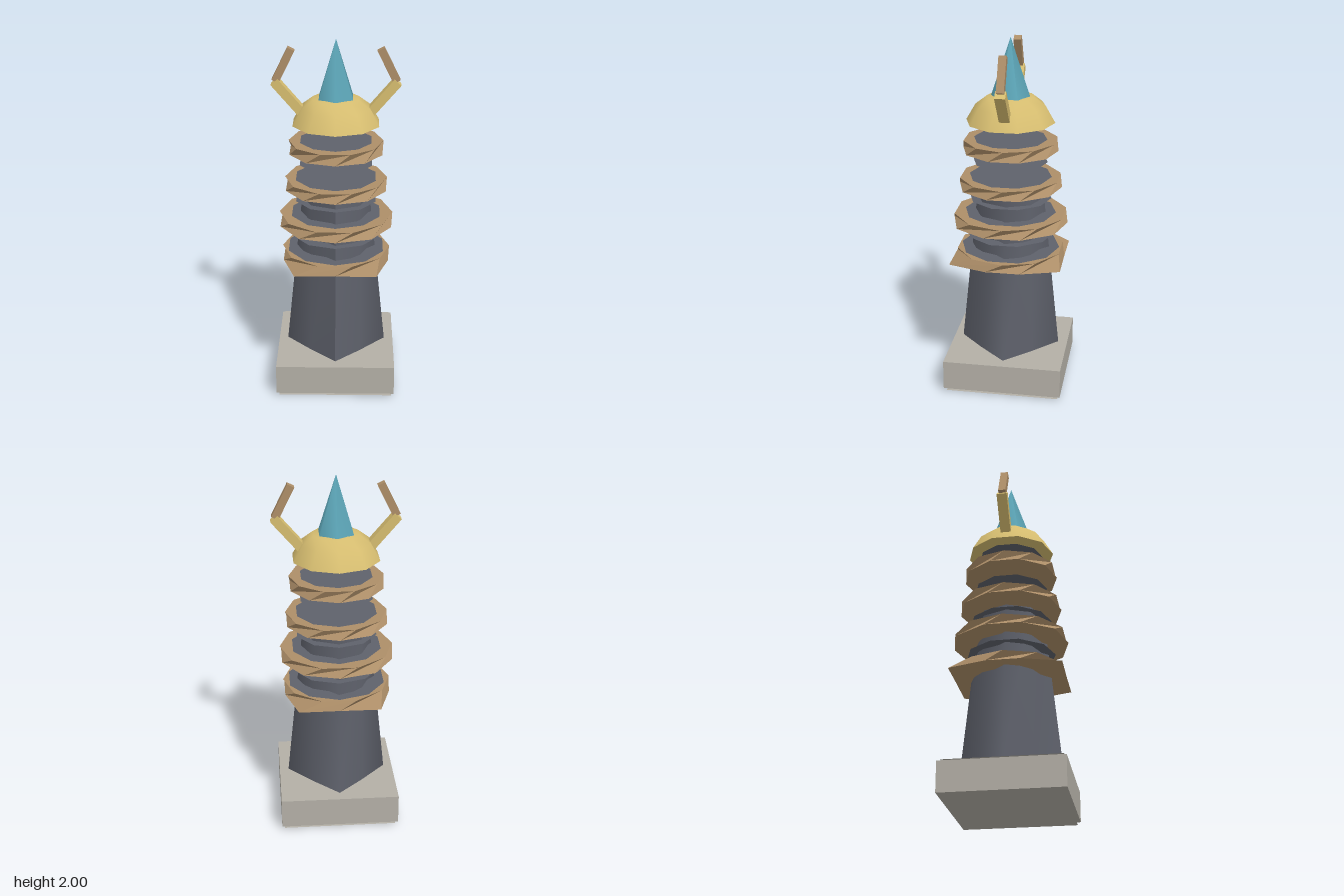
import * as THREE from 'three';

const mat = (name, color, extra = {}) => {
  const m = new THREE.MeshStandardMaterial({ color, ...extra });
  m.name = name;
  return m;
};

export function createModel() {
  const group = new THREE.Group();
  group.name = 'tower';
  const stone = mat('pale stone', 0xb3afa6, { side: THREE.DoubleSide });
  const slate = mat('dark slate', 0x5e616b, { side: THREE.DoubleSide });
  const wood = mat('brown wood', 0xad8e68, { flatShading: true });
  const gold = mat('gold', 0xd6bd70);
  const goldFlat = gold;
  const crystal = mat('blue crystal', 0x5ca5b7);

  const add = (name, geometry, material, x = 0, y = 0, z = 0) => {
    const mesh = new THREE.Mesh(geometry, material);
    mesh.name = name;
    mesh.position.set(x, y, z);
    group.add(mesh);
    return mesh;
  };
  const disc = (name, r, y, material) => {
    const g = new THREE.CircleGeometry(r, 10, Math.PI / 2);
    add(name, g.rotateX(-Math.PI / 2), material, 0, y);
  };

  // Square plinth with thin plates above and below
  add('plinth', new THREE.BoxGeometry(0.67, 0.17, 0.67), stone, 0, 0.105);
  for (const y of [0, 0.2]) {
    add('plinthPlate', new THREE.PlaneGeometry(0.64, 0.64).rotateX(-Math.PI / 2), stone, 0, y);
  }

  // Shaft: eight-sided at the top, spreading to four corners at the foot
  const shaft = new THREE.CylinderGeometry(0.187, 0.285, 0.94, 8, 1);
  const sp = shaft.attributes.position;
  for (let i = 0; i < sp.count; i++) {
    const x = sp.getX(i), z = sp.getZ(i);
    const diagonal = Math.abs(x) > 0.05 && Math.abs(z) > 0.05;
    if (sp.getY(i) < 0 && diagonal) {
      const k = 0.207 / Math.hypot(x, z);
      sp.setXYZ(i, x * k, sp.getY(i), z * k);
    }
  }
  shaft.computeVertexNormals();
  add('shaft', shaft, slate, 0, 0.66);

  // Ten-sided collars whose top edge is turned half a step, giving zigzag rims
  const collar = (radius, cornerRadius, height, y) => {
    const g = new THREE.CylinderGeometry(radius, radius, height, 10, 1);
    const p = g.attributes.position;
    for (let i = 0; i < p.count; i++) {
      const x = p.getX(i), z = p.getZ(i), r = Math.hypot(x, z);
      if (r < 0.01) continue;
      let a = Math.atan2(x, z), k = radius;
      if (p.getY(i) > 0) {
        a += Math.PI / 10;
        k *= 0.98;
      } else if (Math.abs(x) > radius * 0.5 && Math.abs(z) > radius * 0.5) {
        k = cornerRadius;
      }
      p.setXYZ(i, Math.sin(a) * k, p.getY(i), Math.cos(a) * k);
    }
    g.computeVertexNormals();
    add('collar', g, wood, 0, y);
  };
  const tiers = [
    // radius, corner radius, centre height, thickness, slate radius
    [0.31, 0.385, 0.775, 0.05, 0.28],
    [0.325, 0.335, 0.983, 0.053, 0.258],
    [0.29, 0.295, 1.193, 0.053, 0.232],
    [0.267, 0.27, 1.405, 0.058, 0.205],
  ];
  for (const [r, corner, y, h, inner] of tiers) {
    collar(r, corner, h, y);
    disc('tierFloor', inner, y + h / 2 + 0.003, slate);
    disc('tierStep', inner * 0.9, y + 0.115, slate);
  }

  // Domed cap
  const profile = [[0, 1.535], [0.247, 1.535], [0.247, 1.535], [0.195, 1.625], [0.13, 1.675], [0, 1.685]];
  add('dome', new THREE.LatheGeometry(profile.map(([x, y]) => new THREE.Vector2(x, y)), 10), gold);

  // Six-sided crystal spire
  add('spire', new THREE.ConeGeometry(0.123, 0.37, 6), crystal, 0, 1.815);

  // Pair of bent horns
  const bar = (name, a, b, width, depth, material) => {
    const dx = b[0] - a[0], dy = b[1] - a[1];
    const g = new THREE.BoxGeometry(width, Math.hypot(dx, dy), depth);
    const m = add(name, g, material, (a[0] + b[0]) / 2, (a[1] + b[1]) / 2);
    m.rotation.z = -Math.atan2(dx, dy);
  };
  for (const s of [-1, 1]) {
    bar('lowerHorn', [s * 0.185, 1.595], [s * 0.333, 1.768], 0.05, 0.058, goldFlat);
    bar('upperHorn', [s * 0.328, 1.77], [s * 0.24, 1.947], 0.042, 0.042, wood);
  }

  return group;
}
